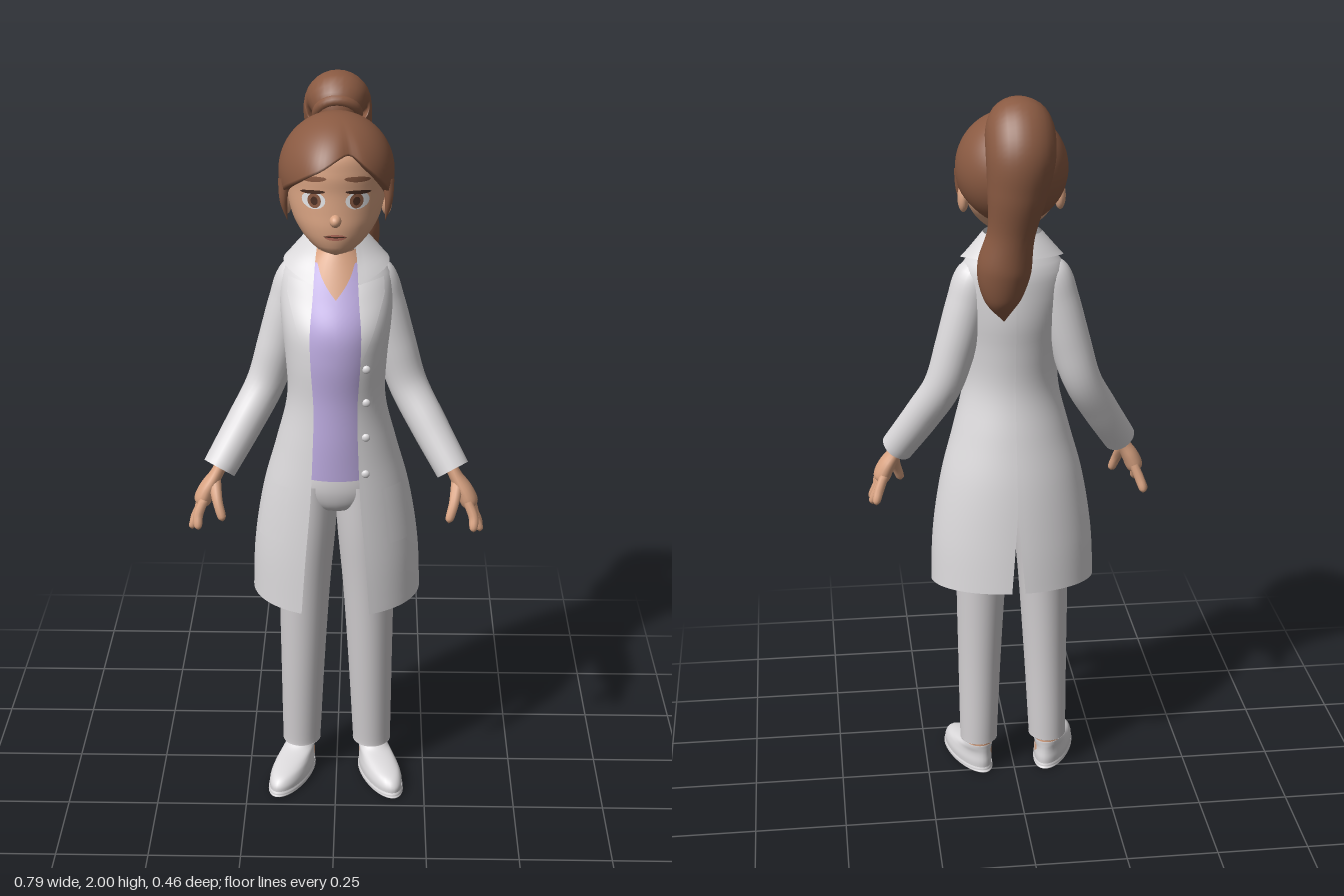
import * as THREE from 'three';
import { mergeVertices } from 'three/addons/utils/BufferGeometryUtils.js';

const lerp = THREE.MathUtils.lerp;
const mat = (name, color, double) => {
  const m = new THREE.MeshStandardMaterial({ color });
  m.name = name;
  if (double) m.side = THREE.DoubleSide;
  return m;
};

// Smooth surface from f(u, v) -> [x, y, z]
function grid(nu, nv, f) {
  const pos = [], idx = [];
  for (let j = 0; j <= nv; j++) for (let i = 0; i <= nu; i++) pos.push(...f(i / nu, j / nv));
  for (let j = 0; j < nv; j++) for (let i = 0; i < nu; i++) {
    const a = j * (nu + 1) + i, b = a + 1, d = a + nu + 1, c = d + 1;
    idx.push(a, b, c, a, c, d);
  }
  let g = new THREE.BufferGeometry();
  g.setAttribute('position', new THREE.Float32BufferAttribute(pos, 3));
  g.setIndex(idx);
  g = mergeVertices(g, 1e-5);
  g.computeVertexNormals();
  return g;
}

// Smooth interpolation of rows [key, ...values]
function profile(rows) {
  const it = new THREE.CubicInterpolant(rows.map(r => r[0]), rows.flatMap(r => r.slice(1)), rows[0].length - 1);
  return k => Array.from(it.evaluate(k));
}

// Stack of horizontal ellipses, rows [y, centreX, radiusX, zBack, zFront]
function loft(rows, nv = 32) {
  const p = profile(rows.map((r, i) => [i, ...r]));
  return grid(32, nv, (u, v) => {
    const [y, cx, rx, zb, zf] = p(v * (rows.length - 1)), a = u * 2 * Math.PI;
    return [cx + rx * Math.sin(a), y, (zb + zf) / 2 + (zf - zb) / 2 * Math.cos(a)];
  });
}

// Tube with changing radius, points [x, y, z, radius]
function limb(pts, nu = 20, nv = 30, flat = 1) {
  const curve = new THREE.CatmullRomCurve3(pts.map(p => new THREE.Vector3(p[0], p[1], p[2])));
  const rad = profile(pts.map((p, i) => [i, p[3]]));
  const X = new THREE.Vector3(1, 0, 0);
  return grid(nu, nv, (u, v) => {
    const P = curve.getPoint(v), T = curve.getTangent(v), r = Math.max(0, rad(v * (pts.length - 1))[0]);
    const N = X.clone().cross(T).normalize(), B = T.clone().cross(N), a = u * 2 * Math.PI;
    return P.addScaledVector(N, r * Math.cos(a)).addScaledVector(B, r * flat * Math.sin(a)).toArray();
  });
}

// Body profiles, rows [y, radiusX, zBack, zFront, front opening]
const coatRows = profile([
  [0.58, 0.23, -0.118, 0.228, 0.092], [0.75, 0.222, -0.105, 0.228, 0.08], [0.92, 0.195, -0.085, 0.224, 0.066],
  [1.05, 0.16, -0.06, 0.219, 0.06], [1.18, 0.13, -0.037, 0.216, 0.057], [1.3, 0.134, -0.045, 0.222, 0.064],
  [1.38, 0.143, -0.055, 0.212, 0.066], [1.46, 0.148, -0.055, 0.165, 0.06], [1.52, 0.138, -0.05, 0.13, 0.056],
  [1.56, 0.105, -0.035, 0.11, 0.053], [1.61, 0.062, -0.01, 0.095, 0.045]]);
const shirtRows = profile([
  [0.95, 0.13, -0.03, 0.16], [1.05, 0.12, -0.03, 0.168], [1.18, 0.11, -0.02, 0.175], [1.3, 0.118, -0.03, 0.19],
  [1.38, 0.12, -0.035, 0.187], [1.46, 0.12, -0.03, 0.152], [1.54, 0.08, -0.01, 0.115], [1.57, 0.055, 0, 0.1]]);
const headRows = profile([
  [1.587, 0.01, 0.13, 0.165], [1.597, 0.042, 0.085, 0.182], [1.62, 0.074, 0.03, 0.194], [1.66, 0.105, -0.03, 0.2],
  [1.7, 0.12, -0.06, 0.198], [1.75, 0.127, -0.08, 0.196], [1.8, 0.128, -0.08, 0.198], [1.86, 0.112, -0.065, 0.18],
  [1.9, 0.06, -0.02, 0.12]]);
const ring = (p, y, a, off = 0) => {
  const [rx, zb, zf] = p(y);
  return [(rx + off) * Math.sin(a), y, (zb + zf) / 2 + ((zf - zb) / 2 + off) * Math.cos(a)];
};
const coatAngle = (y, x) => Math.asin(Math.min(0.98, x / coatRows(y)[0]));
const openAngle = y => coatAngle(y, coatRows(y)[3]);

// Thin patch lying on the face
const decal = (cx, cy, rx, ry, off, tilt = 0) => grid(20, 4, (u, v) => {
  const a = u * 2 * Math.PI, r = 1 - v, dx = rx * r * Math.cos(a);
  const x = cx + dx, y = cy + ry * r * Math.sin(a) + dx * tilt;
  return [x, y, ring(headRows, y, Math.asin(x / headRows(y)[0]), off)[2]];
});

export function createModel() {
  const root = new THREE.Group();
  const hair = mat('hairBrown', 0x8a5a42), skin = mat('skin', 0xdaa483), coat = mat('coatWhite', 0xdcdadc, true);
  const pants = mat('trouserGrey', 0xd2cfd1), shirt = mat('shirtLilac', 0xc2b0e6, true);
  const white = mat('eyeWhite', 0xf0f0f2), dark = mat('darkBrown', 0x4a2e22), lips = mat('lipRose', 0xb9705f);
  const add = (name, geo, m, parent = root) => {
    const o = new THREE.Mesh(geo, m);
    o.name = name;
    parent.add(o);
    return o;
  };
  const ball = (name, m, p, s) => {
    const o = add(name, new THREE.SphereGeometry(1, 20, 14), m);
    o.position.set(...p);
    o.scale.set(...s);
    return o;
  };

  // Head and face
  add('head', grid(40, 36, (u, v) => ring(headRows, lerp(1.587, 1.9, v), u * 2 * Math.PI)), skin);
  add('neck', limb([[0, 1.45, 0.04, 0.055], [0, 1.54, 0.048, 0.046], [0, 1.67, 0.06, 0.046]]), skin);
  add('chest', grid(32, 12, (u, v) => ring(shirtRows, lerp(1.36, 1.57, v), u * 2 * Math.PI, -0.006)), skin);
  ball('nose', skin, [0, 1.685, 0.198], [0.015, 0.016, 0.021]);
  add('mouth', decal(0, 1.643, 0.027, 0.008, 0.004), lips);
  add('mouthLine', decal(0, 1.645, 0.03, 0.002, 0.006), dark);
  for (const s of [1, -1]) {
    add('eye', decal(s * 0.055, 1.735, 0.03, 0.022, 0.003), white);
    add('iris', decal(s * 0.053, 1.735, 0.017, 0.019, 0.005), hair);
    add('pupil', decal(s * 0.053, 1.735, 0.009, 0.011, 0.007), dark);
    add('upperLash', decal(s * 0.057, 1.757, 0.032, 0.005, 0.007, s * -0.1), dark);
    add('eyebrow', decal(s * 0.055, 1.79, 0.033, 0.007, 0.005, s * -0.1), hair);
    ball('ear', skin, [s * 0.128, 1.7, 0.055], [0.015, 0.038, 0.024]);
    add('sideLock', limb([[s * 0.132, 1.77, 0.1, 0.016], [s * 0.133, 1.71, 0.105, 0.01], [s * 0.124, 1.655, 0.095, 0]], 10, 12), hair);
  }

  // Hair cap with a swept fringe, cut along a hairline that varies around the head
  const hairline = profile([[-180, 1.645], [-130, 1.655], [-100, 1.715], [-85, 1.715], [-65, 1.745], [-42, 1.775],
    [-18, 1.81], [16, 1.85], [35, 1.81], [60, 1.755], [85, 1.715], [100, 1.715], [130, 1.655], [180, 1.645]]);
  add('hairCap', grid(72, 28, (u, v) => {
    const deg = -180 + 360 * u, a = deg * Math.PI / 180;
    const end = Math.acos((hairline(deg)[0] - 1.778) / 0.15), th = end * (1 - Math.max(0, v - 1 / 28) * 28 / 27);
    const front = Math.sin(th) ** 2;
    const k = (v === 0 ? 0.86 : 1) + front * (0.11 * Math.exp(-(((deg + 12) / 24) ** 2))
      - 0.08 * Math.exp(-(((deg - 17) / 7) ** 2)));
    const sx = Math.sin(th) * Math.sin(a), sz = Math.sin(th) * Math.cos(a);
    return [0.148 * k * sx, 1.778 + 0.15 * Math.cos(th) * (v === 0 ? 0.95 : 1), 0.055 + (sz > 0 ? 0.165 : 0.155) * k * sz];
  }), hair);
  add('ponytail', limb([[0, 1.86, -0.05, 0.04], [0, 1.92, -0.1, 0.078], [0, 1.865, -0.15, 0.084], [0.01, 1.77, -0.16, 0.073],
    [0.025, 1.66, -0.152, 0.058], [0.042, 1.56, -0.138, 0.066], [0.046, 1.48, -0.14, 0.045], [0.042, 1.42, -0.14, 0]], 28, 60, 1.06), hair);
  const tie = add('hairTie', new THREE.TorusGeometry(0.05, 0.016, 12, 28), hair);
  tie.position.set(0, 1.895, -0.065);
  tie.rotation.x = 0.64;

  // Shirt with a V neck
  add('shirt', grid(64, 30, (u, v) => {
    const a = u * 2 * Math.PI, x = Math.abs(Math.sin(a)) * 0.09;
    return ring(shirtRows, lerp(0.955, Math.cos(a) > 0 ? 1.46 + 0.085 * Math.min(1, x / 0.055) : 1.545, v), a);
  }), shirt);

  // Long open coat in two halves with a vent at the back
  for (const s of [1, -1]) {
    add('coatBody', grid(40, 44, (u, v) => {
      const y0 = lerp(0.585, 1.605, v), vent = 0.08 * Math.max(0, (0.84 - y0) / 0.25);
      const a = lerp(openAngle(y0), Math.PI - vent, u);
      const y = y0 + 0.018 * (1 - Math.cos(a)) * (1 - v) ** 3;
      const p = ring(coatRows, y, a);
      return [s * p[0], y, p[2]];
    }), coat);
    add('lapel', grid(10, 16, (u, v) => {
      const y = lerp(1.31, 1.5, v), w = coatRows(y)[3], wide = 0.062 * Math.min(1, v / 0.8);
      const p = ring(coatRows, y, coatAngle(y, w - 0.004 + wide * u), 0.01);
      return [s * p[0], y + 0.014 * u * v, p[2]];
    }), coat);
    add('pocket', grid(8, 6, (u, v) => {
      const y = lerp(0.79, 0.95, v), p = ring(coatRows, y, lerp(0.68, 1.2, u), 0.005);
      return [s * p[0], y, p[2]];
    }), coat);
    // Sleeve
    add('sleeve', limb([[s * 0.075, 1.535, 0.035, 0.02], [s * 0.1, 1.495, 0.033, 0.052], [s * 0.122, 1.42, 0.03, 0.057],
      [s * 0.155, 1.3, 0.028, 0.056], [s * 0.19, 1.19, 0.033, 0.052], [s * 0.245, 1.09, 0.072, 0.05],
      [s * 0.312, 0.978, 0.125, 0.046]], 24, 40), coat);
    // Hand
    add('palm', limb([[s * 0.295, 1.01, 0.11, 0.026], [s * 0.318, 0.965, 0.125, 0.027], [s * 0.345, 0.92, 0.13, 0.036],
      [s * 0.36, 0.885, 0.132, 0.034], [s * 0.366, 0.87, 0.132, 0]], 16, 20, 0.65), skin);
    for (const [z0, z1, x1, y1] of [[0.16, 0.185, 0.368, 0.822], [0.142, 0.154, 0.386, 0.81], [0.12, 0.118, 0.386, 0.81], [0.103, 0.08, 0.376, 0.822]])
      add('finger', limb([[s * 0.352, 0.9, z0, 0.013], [s * 0.368, 0.86, lerp(z0, z1, 0.5), 0.0135],
        [s * x1, y1 + 0.01, z1, 0.0105], [s * x1, y1, z1, 0]], 10, 14), skin);
    add('thumb', limb([[s * 0.325, 0.945, 0.135, 0.018], [s * 0.315, 0.9, 0.172, 0.014],
      [s * 0.303, 0.86, 0.188, 0.011], [s * 0.301, 0.85, 0.19, 0]], 10, 14), skin);
    // Trouser leg
    add('trouserLeg', loft([[0.108, s * 0.1, 0.03, 0.0, 0.07], [0.1, s * 0.1, 0.052, -0.02, 0.095], [0.12, s * 0.1, 0.054, -0.022, 0.097],
      [0.35, s * 0.095, 0.061, -0.02, 0.118], [0.6, s * 0.088, 0.07, -0.026, 0.136], [0.78, s * 0.078, 0.076, -0.04, 0.148],
      [0.93, s * 0.068, 0.074, -0.04, 0.15]], 40), pants);
    // Ankle and shoe, toe turned out
    add('ankle', limb([[s * 0.1, 0.03, 0.03, 0.036], [s * 0.1, 0.08, 0.03, 0.036], [s * 0.1, 0.16, 0.035, 0.036]], 16, 6), skin);
    const foot = new THREE.Group();
    foot.name = 'shoe';
    foot.position.set(s * 0.096, 0, 0.012);
    foot.rotation.y = s * 0.34;
    root.add(foot);
    add('sole', loft([[0, 0, 0, 0.08, 0.1], [0, 0, 0.046, -0.028, 0.208], [0.008, 0, 0.052, -0.034, 0.216], [0.016, 0, 0.05, -0.032, 0.213]], 16), coat, foot);
    add('upper', loft([[0.01, 0, 0.049, -0.03, 0.211], [0.03, 0, 0.05, -0.031, 0.209], [0.048, 0, 0.047, -0.029, 0.19],
      [0.06, 0, 0.044, -0.028, 0.15], [0.074, 0, 0.041, -0.028, 0.085], [0.086, 0, 0.038, -0.028, 0.058], [0.07, 0, 0.032, -0.02, 0.05]], 30), coat, foot);
  }
  add('hips', loft([[0.84, 0, 0.01, 0.03, 0.08], [0.86, 0, 0.1, -0.04, 0.135], [0.91, 0, 0.14, -0.045, 0.155],
    [0.97, 0, 0.124, -0.03, 0.152], [0.99, 0, 0.1, -0.02, 0.14]], 24), pants);

  // Collar around the neck
  add('collar', grid(48, 8, (u, v) => {
    const side = Math.abs(2 * u - 1), lo = 1.55 - 0.055 * side ** 3, y = lerp(lo, 1.605, v);
    const a0 = openAngle(y), p = ring(coatRows, y, lerp(a0, 2 * Math.PI - a0, u), 0.012);
    return [p[0], y + 0.006, p[2]];
  }), coat);

  // Buttons down one edge
  for (const y of [1.29, 1.195, 1.1, 1.0]) {
    const p = ring(coatRows, y, coatAngle(y, 0.078), 0.003);
    ball('button', coat, p, [0.011, 0.011, 0.007]);
  }
  return root;
}
